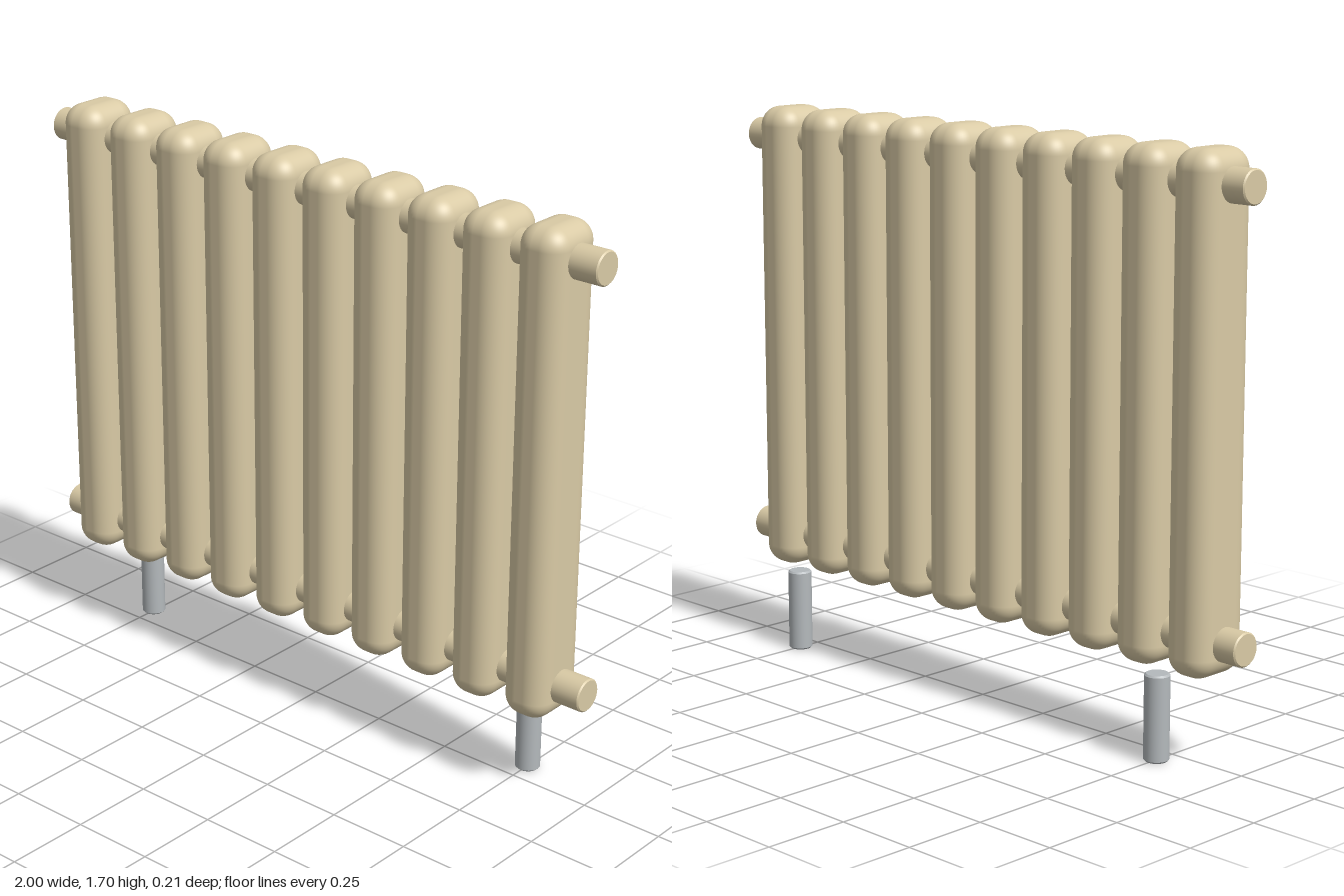
import * as THREE from 'three';
import { RoundedBoxGeometry } from 'three/addons/geometries/RoundedBoxGeometry.js';

const enamel = new THREE.MeshStandardMaterial({ name: 'cream enamel', color: 0xd9caa5 });
const steel = new THREE.MeshStandardMaterial({ name: 'grey steel', color: 0xb4b9bc });

// Closed rod along y with a tiny bevel; repeated points keep its edges crisp.
function rodGeometry(radius, length, bevel) {
  const h = length / 2;
  const low = [radius - bevel, -h], lowRim = [radius, -h + bevel];
  const highRim = [radius, h - bevel], high = [radius - bevel, h];
  const profile = [[0, -h], low, low, lowRim, lowRim, highRim, highRim, high, high, [0, h]];
  return new THREE.LatheGeometry(profile.map(([x, y]) => new THREE.Vector2(x, y)), 32);
}

export function createModel() {
  const model = new THREE.Group();
  model.name = 'radiator';

  const add = (name, geometry, material, x, y, z) => {
    const mesh = new THREE.Mesh(geometry, material);
    mesh.name = name;
    mesh.position.set(x, y, z);
    model.add(mesh);
    return mesh;
  };

  // Row of rounded upright columns
  const columnGeometry = new RoundedBoxGeometry(0.147, 1.444, 0.2, 6, 0.06);
  for (let i = 0; i < 10; i++) {
    add(`column${i + 1}`, columnGeometry, enamel, -0.852 + i * 0.1876, 0.978, 0.008);
  }

  // Header pipes running through all columns
  const pipeGeometry = rodGeometry(0.049, 2, 0.004).rotateZ(Math.PI / 2);
  add('topPipe', pipeGeometry, enamel, 0, 1.604, 0.008);
  add('bottomPipe', pipeGeometry, enamel, 0, 0.354, 0.008);

  // Two steel feet set towards the back
  const footGeometry = rodGeometry(0.0365, 0.252, 0.005);
  add('rightFoot', footGeometry, steel, -0.752, 0.126, -0.069);
  add('leftFoot', footGeometry, steel, 0.75, 0.126, -0.069);

  return model;
}
